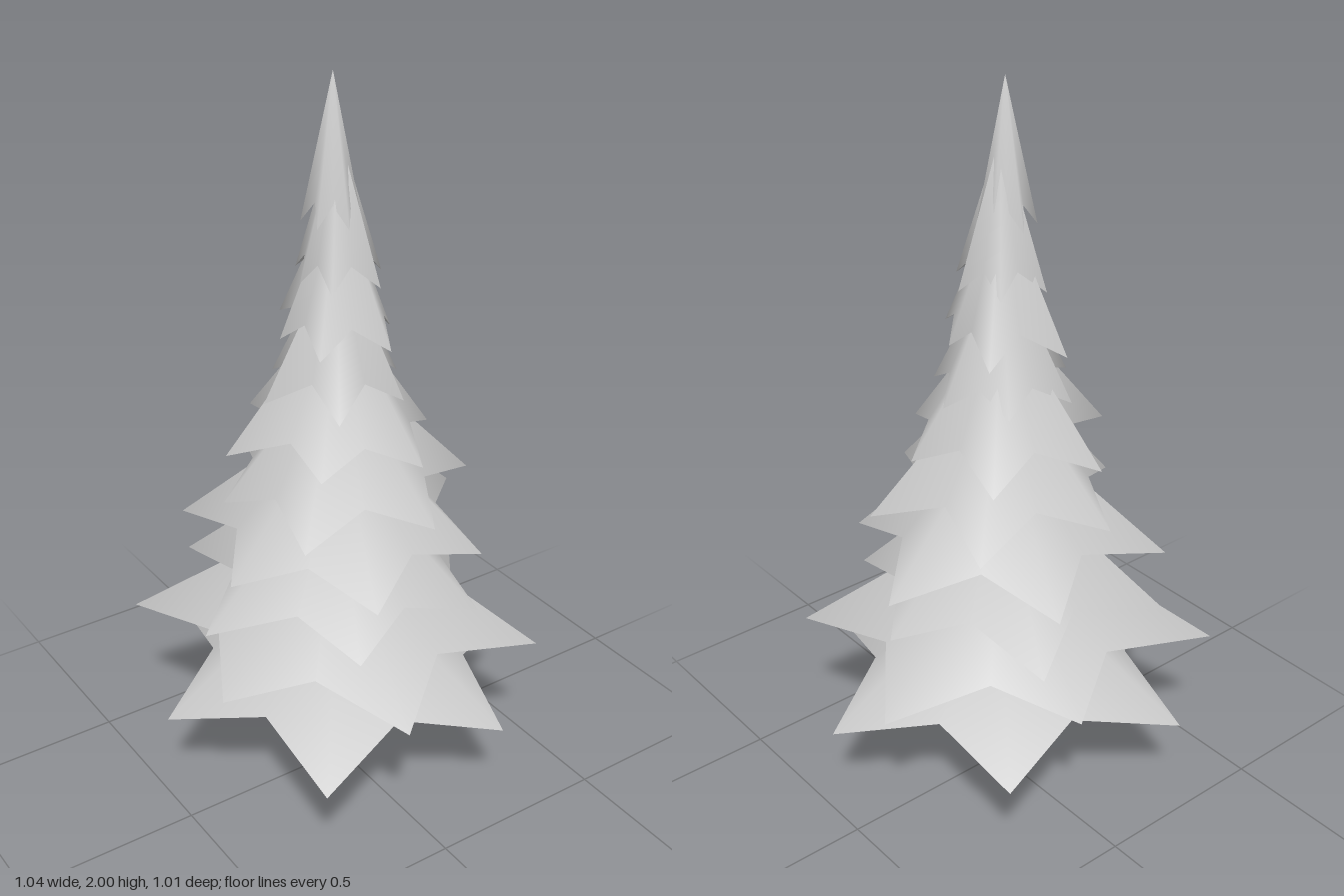
import * as THREE from 'three';

const POINTS = 6;        // points on each star-shaped tier
const FIRST_Y = 0.3;     // height of the lowest tips
const STEP = 0.148;      // vertical distance between tiers
const TIER_HEIGHT = 0.385;
const CENTRE_X = -0.01;

// Each tier: turn in degrees, then the radius of each point
const TIERS = [
  [7, [0.533, 0.525, 0.555, 0.515, 0.545, 0.525]],
  [44, [0.55, 0.522, 0.463, 0.582, 0.477, 0.522]],
  [-4, [0.395, 0.4, 0.405, 0.435, 0.455, 0.46]],
  [-10, [0.435, 0.395, 0.405, 0.38, 0.445, 0.435]],
  [17, [0.365, 0.335, 0.36, 0.31, 0.35, 0.39]],
  [13, [0.255, 0.275, 0.26, 0.305, 0.305, 0.31]],
  [3, [0.18, 0.19, 0.235, 0.215, 0.195, 0.18]],
  [17, [0.14, 0.18, 0.19, 0.15, 0.205, 0.215]],
  [10, [0.12, 0.13, 0.13, 0.1, 0.13, 0.13]],
  [35, [0.07, 0.08, 0.075, 0.08, 0.08, 0.07]],
];

// Star-rimmed cone: smooth upper skirt and a shallow hollow underside
function tierGeometry(turn, radii, height) {
  const mean = radii.reduce((a, b) => a + b) / POINTS;
  const sides = POINTS * 2;
  const rim = [];
  for (let i = 0; i < sides; i++) {
    const notch = i % 2 === 1;
    const angle = THREE.MathUtils.degToRad(turn + (i * 360) / sides);
    const r = notch ? mean * 0.66 : radii[i / 2];
    rim.push(Math.cos(angle) * r, notch ? 0.055 : 0, Math.sin(angle) * r);
  }
  const positions = [
    0, height, 0, ...rim, // upper skirt
    0, STEP, 0, ...rim,   // underside
  ];
  const index = [];
  const under = sides + 1;
  for (let i = 0; i < sides; i++) {
    const a = 1 + i;
    const b = 1 + ((i + 1) % sides);
    index.push(0, b, a, under, under + a, under + b);
  }
  const geometry = new THREE.BufferGeometry();
  geometry.setAttribute('position', new THREE.Float32BufferAttribute(positions, 3));
  geometry.setIndex(index);
  geometry.computeVertexNormals();
  return geometry;
}

export function createModel() {
  const tree = new THREE.Group();
  tree.name = 'coniferTree';
  const grey = new THREE.MeshStandardMaterial({ color: 0xcccccc });
  grey.name = 'lightGrey';

  // Trunk
  const trunk = new THREE.Mesh(new THREE.CylinderGeometry(0.024, 0.031, 0.5, 12), grey);
  trunk.name = 'trunk';
  trunk.position.set(CENTRE_X, 0.25, 0);
  tree.add(trunk);

  // Branch tiers, from the widest at the bottom to the tip
  TIERS.forEach(([turn, radii], i) => {
    const top = i === TIERS.length - 1;
    const y = FIRST_Y + i * STEP;
    const tier = new THREE.Mesh(tierGeometry(turn, radii, top ? 2 - y : TIER_HEIGHT), grey);
    tier.name = `branchTier${i + 1}`;
    tier.position.set(top ? -0.022 : CENTRE_X, y, 0);
    tree.add(tier);
  });

  return tree;
}
